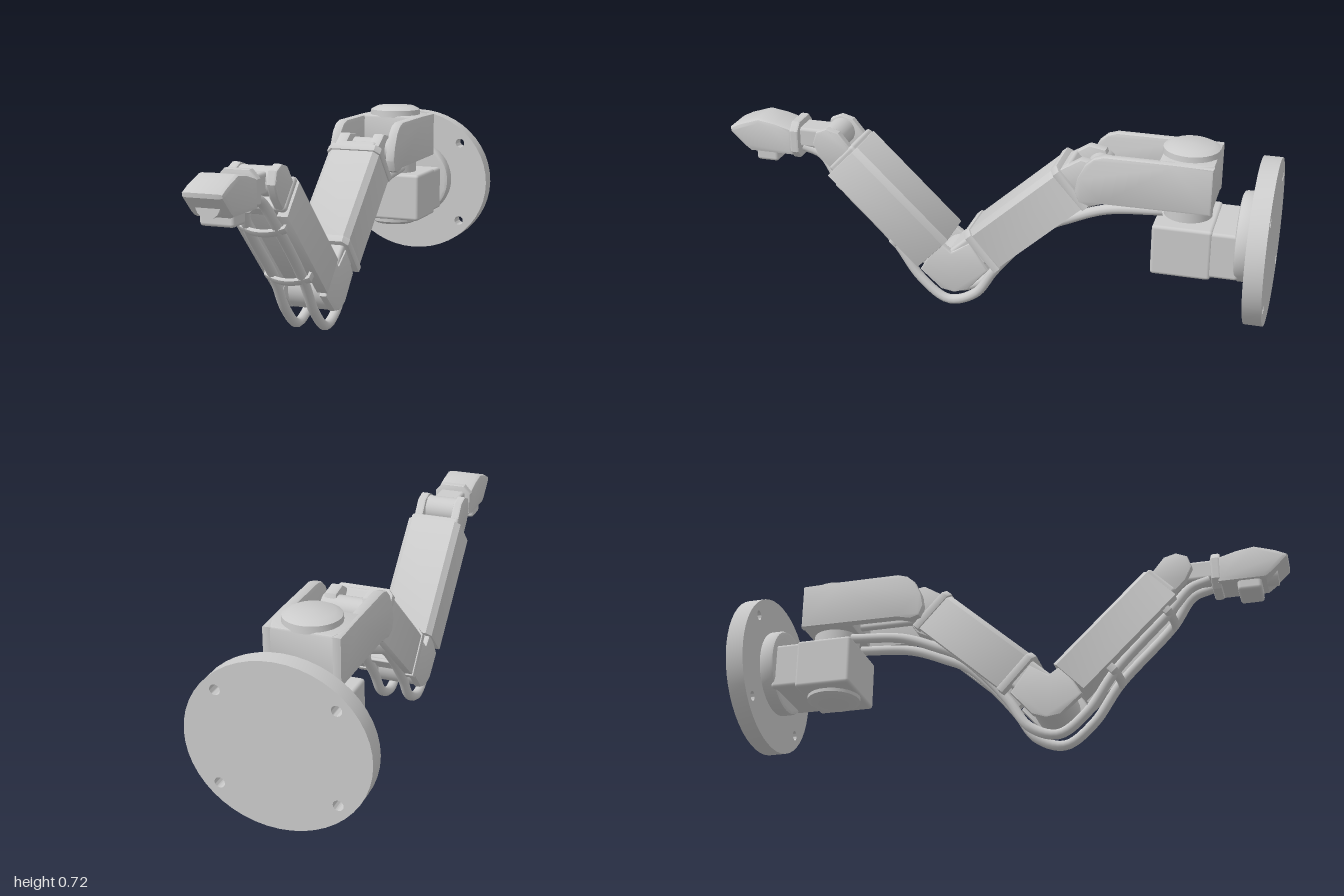
import * as THREE from 'three';
import { toCreasedNormals } from 'three/addons/utils/BufferGeometryUtils.js';
import { RoundedBoxGeometry } from 'three/addons/geometries/RoundedBoxGeometry.js';

const material = new THREE.MeshStandardMaterial({ color: 0xcccccc });

function add(parent, name, geometry, x = 0, y = 0, z = 0) {
  const mesh = new THREE.Mesh(geometry, material);
  mesh.name = name;
  mesh.position.set(x, y, z);
  parent.add(mesh);
  return mesh;
}

const points = (list) => list.map(([a, b]) => new THREE.Vector2(a, b));
const rounded = (w, h, d, r = 0.012) => new RoundedBoxGeometry(w, h, d, 2, r);

// Extrusion centred on its depth, with a small bevel kept inside that depth
function extrude(shape, depth, bevel = 0.008) {
  const g = new THREE.ExtrudeGeometry(shape, {
    depth: depth - 2 * bevel, bevelEnabled: bevel > 0, bevelSize: bevel,
    bevelThickness: bevel, bevelOffset: -bevel, bevelSegments: 2, curveSegments: 24,
  });
  g.translate(0, 0, -depth / 2 + bevel);
  return toCreasedNormals(g, 0.6);
}

// Side profile of [z, y] points given a width along x
const sideExtrude = (profile, width, bevel) =>
  extrude(new THREE.Shape(points(profile)), width, bevel).rotateY(-Math.PI / 2);

// Cylinder lying along x
const crossPin = (r, width, sides = 28) =>
  new THREE.CylinderGeometry(r, r, width, sides).rotateZ(Math.PI / 2);

// Channel open underneath, running along local z
function channel(w, h, length, wall, top) {
  const a = w / 2, b = h / 2, i = a - wall, t = b - top, c = 0.02;
  return extrude(new THREE.Shape(points([
    [-a, -b], [-i, -b], [-i, t], [i, t], [i, -b], [a, -b],
    [a, b - c], [a - c, b], [c - a, b], [-a, b - c],
  ])), length, 0.004);
}

function ellipsePlate(rx, ry, depth, holes = []) {
  const shape = new THREE.Shape().absellipse(0, 0, rx, ry, 0, Math.PI * 2);
  for (const [x, y] of holes)
    shape.holes.push(new THREE.Path().absarc(x, y, 0.018, 0, Math.PI * 2, true));
  return extrude(shape, depth, holes.length ? 0 : 0.012);
}

function limb(parent, name, y, z, degrees) {
  const g = new THREE.Group();
  g.name = name;
  g.position.set(0, y, z);
  g.rotation.x = THREE.MathUtils.degToRad(degrees);
  parent.add(g);
  return g;
}

export function createModel() {
  const model = new THREE.Group();
  model.name = 'robotArm';

  // Wall flange with four bolt holes, and its boss
  const bolts = [[0.2, 0.163], [-0.2, 0.163], [-0.2, -0.163], [0.2, -0.163]];
  add(model, 'mountingFlange', ellipsePlate(0.315, 0.29, 0.065, bolts), 0, 0.387, -0.9675);
  add(model, 'flangeBoss', ellipsePlate(0.166, 0.158, 0.06), 0, 0.396, -0.913);

  // Lower bracket and vertical swivel
  add(model, 'swivelBracket', rounded(0.272, 0.185, 0.21), 0, 0.365, -0.7);
  add(model, 'bracketBack', rounded(0.264, 0.17, 0.12), 0, 0.367, -0.84);
  add(model, 'swivelNeck', new THREE.CylinderGeometry(0.085, 0.085, 0.1, 28), 0, 0.485, -0.7);
  for (const side of [1, -1]) {
    const cap = add(model, 'swivelCap', toCreasedNormals(new THREE.LatheGeometry(points([
      [0.1, -0.02], [0.098, 0.006], [0.075, 0.018], [0, 0.018],
    ]), 28), 0.6), 0, side > 0 ? 0.702 : 0.266, -0.7);
    if (side < 0) cap.rotation.x = Math.PI;
  }

  // Shoulder fork: rounded hub with two side plates
  const hub = new THREE.Shape(points([[-0.128, -0.095], [-0.128, 0.03], [-0.105, 0.095],
    [0.105, 0.095], [0.128, 0.03], [0.128, -0.095]]));
  hub.holes.push(new THREE.Path().absarc(0, -0.2, 0.001, 0, 0.001));
  hub.holes.length = 0;
  add(model, 'forkHub', extrude(hub, 0.172).rotateX(-Math.PI / 2), 0, 0.602, -0.7);
  const plate = [[-0.795, 0.515], [-0.42, 0.512], [-0.37, 0.5], [-0.335, 0.51], [-0.32, 0.55],
    [-0.33, 0.6], [-0.355, 0.65], [-0.385, 0.677], [-0.42, 0.688], [-0.66, 0.688], [-0.795, 0.685]];
  for (const side of [1, -1]) {
    add(model, 'forkPlate', sideExtrude(plate, 0.038), side * 0.115, 0, 0);
    add(model, 'shoulderKnuckle', sideExtrude([[-0.42, 0.56], [-0.4, 0.53], [-0.34, 0.5],
      [-0.24, 0.53], [-0.25, 0.6], [-0.33, 0.65], [-0.39, 0.64]], 0.045), side * 0.068, 0, 0);
  }
  add(model, 'shoulderPin', crossPin(0.045, 0.22), 0, 0.585, -0.375);
  add(model, 'forkWeb', rounded(0.03, 0.05, 0.24), 0, 0.565, -0.5);

  // Upper arm: open channel with collars at both ends
  const upper = limb(model, 'upperArm', 0.4, -0.135, 42);
  add(upper, 'upperArmShell', channel(0.204, 0.17, 0.46, 0.03, 0.07));
  for (const z of [0.215, -0.215])
    add(upper, 'upperArmCollar', channel(0.214, 0.182, 0.03, 0.032, 0.08), 0, 0, z);
  add(upper, 'shoulderEnd', rounded(0.15, 0.12, 0.06), 0, 0.01, -0.235);
  add(upper, 'elbowEnd', rounded(0.18, 0.12, 0.12), 0, 0.01, 0.27);
  for (const z of [-0.14, 0.14])
    add(upper, 'hoseBracket', rounded(0.16, 0.012, 0.03, 0.004), 0, -0.07, z);

  // Elbow joint
  add(model, 'elbowDrum', crossPin(0.08, 0.17), 0, 0.155, 0.14);
  for (const side of [1, -1])
    add(model, 'elbowCheek', sideExtrude([[0.0, 0.18], [0.08, 0.09], [0.13, 0.072], [0.18, 0.08],
      [0.26, 0.15], [0.19, 0.27], [0.14, 0.235], [0.07, 0.28]], 0.03), side * 0.082, 0, 0);

  // Forearm
  const fore = limb(model, 'forearm', 0.383, 0.38, -44);
  add(fore, 'forearmShell', channel(0.21, 0.16, 0.47, 0.04, 0.125));
  add(fore, 'forearmCollar', rounded(0.19, 0.135, 0.05), 0, 0.005, 0.23);

  // Wrist fork and pin
  for (const side of [1, -1])
    add(model, 'wristCheek', sideExtrude([[0.5, 0.57], [0.58, 0.49], [0.64, 0.55], [0.665, 0.6],
      [0.65, 0.645], [0.61, 0.662], [0.565, 0.65]], 0.035), side * 0.073, 0, 0);
  add(model, 'wristPin', crossPin(0.05, 0.18), 0, 0.603, 0.605);
  add(model, 'wristNeck', rounded(0.1, 0.075, 0.14), 0, 0.602, 0.68);

  // Hand: octagonal flange, tapering shell, nose and pad underneath
  const octagon = new THREE.Shape(points([[-0.072, -0.04], [-0.045, -0.07], [0.045, -0.07],
    [0.072, -0.04], [0.072, 0.04], [0.045, 0.07], [-0.045, 0.07], [-0.072, 0.04]]));
  add(model, 'handFlange', extrude(octagon, 0.035), 0, 0.592, 0.745);
  add(model, 'handShell', sideExtrude([[0.75, 0.535], [0.92, 0.535], [0.94, 0.55], [0.998, 0.605],
    [1.0, 0.62], [0.96, 0.64], [0.885, 0.665], [0.82, 0.655], [0.75, 0.635]], 0.144, 0.015));
  add(model, 'handNose', new THREE.CylinderGeometry(0.043, 0.043, 0.1, 14)
    .rotateX(Math.PI / 2), 0, 0.577, 0.91);
  add(model, 'handPad', rounded(0.12, 0.06, 0.085), 0, 0.53, 0.86);

  // Pair of hoses running from wrist to swivel
  const route = [[0.72, 0.565], [0.65, 0.54], [0.57, 0.44], [0.37, 0.235], [0.27, 0.095],
    [0.165, 0.021], [0.06, 0.06], [-0.01, 0.16], [-0.1, 0.27], [-0.2, 0.365],
    [-0.28, 0.405], [-0.42, 0.46], [-0.62, 0.482]];
  for (const side of [1, -1]) {
    const path = new THREE.CatmullRomCurve3(route.map(([z, y], i) =>
      new THREE.Vector3(side * (i < 2 ? 0.035 : 0.055), y, z)));
    add(model, 'hose', new THREE.TubeGeometry(path, 90, 0.018, 10, false));
  }

  // Curved hose clamps beneath the forearm
  const clampShape = new THREE.Shape();
  clampShape.moveTo(-0.09, 0.04);
  clampShape.lineTo(-0.085, -0.005);
  clampShape.quadraticCurveTo(0, -0.05, 0.085, -0.005);
  clampShape.lineTo(0.09, 0.04);
  clampShape.lineTo(0.078, 0.04);
  clampShape.lineTo(0.075, 0.005);
  clampShape.quadraticCurveTo(0, -0.032, -0.075, 0.005);
  clampShape.lineTo(-0.078, 0.04);
  for (const [y, z] of [[0.235, 0.37], [0.44, 0.57]]) {
    const clamp = limb(model, 'hoseClamp', y, z, -44);
    add(clamp, 'clampStrap', extrude(clampShape, 0.03, 0.003));
  }
  return model;
}
